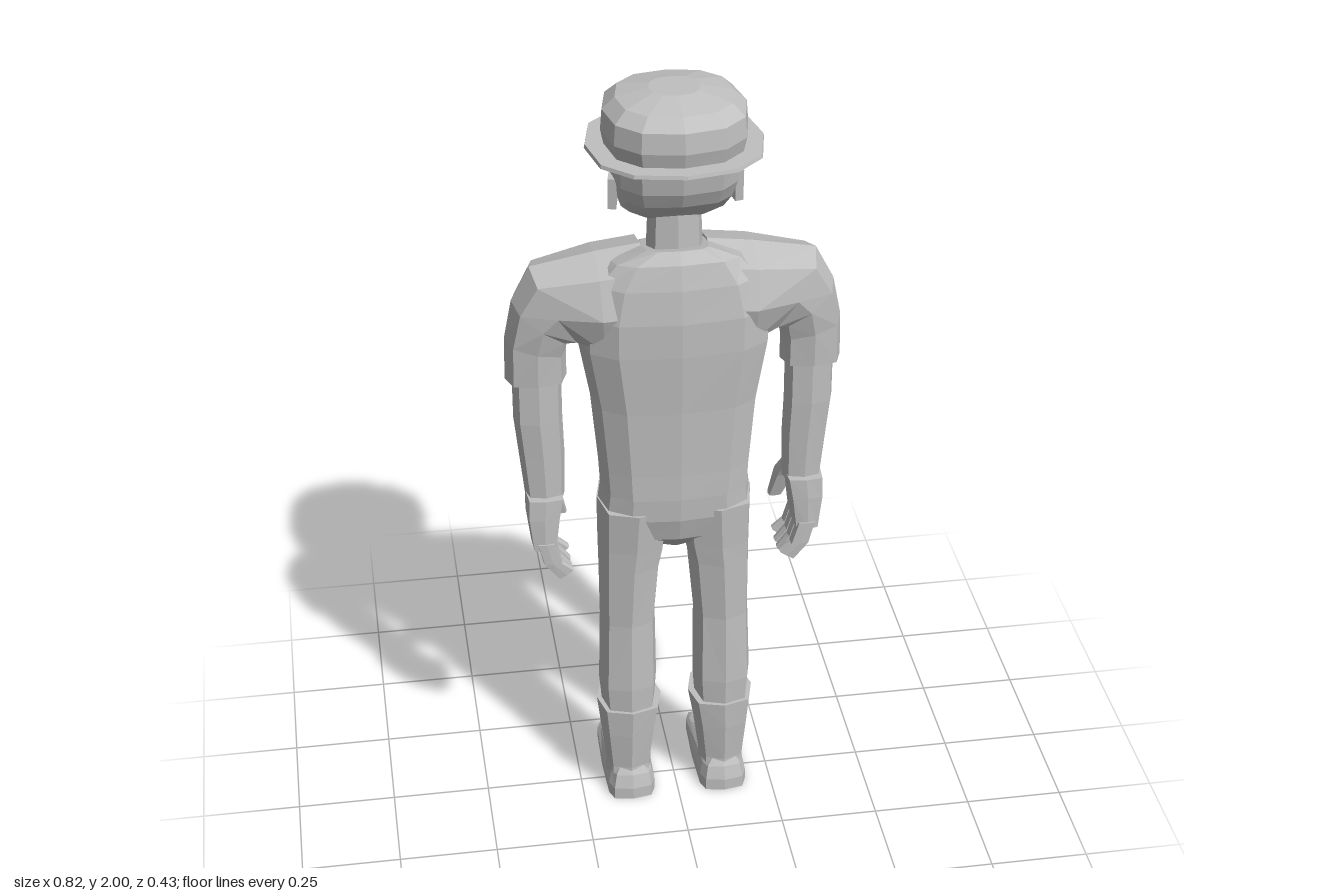
import * as THREE from 'three';

const grey = new THREE.MeshStandardMaterial({ color: 0xc0c0c0, flatShading: true, side: THREE.DoubleSide });
grey.name = 'plain grey';

// Skin over rings. Each ring: [ax, ay, bx, by, zBack, zFace, tilt]; a-b is the width axis in the xy plane.
function loft(name, rings, { n = 8, power = 0.7, side = 1 } = {}) {
  const pos = [], idx = [], last = (rings.length - 1) * n;
  const round = (v) => Math.sign(v) * Math.pow(Math.abs(v), power);
  for (const [ax, ay, bx, by, z0, z1, tilt = 0] of rings) {
    for (let j = 0; j < n; j++) {
      const t = (j / n) * Math.PI * 2;
      const c = round(Math.cos(t)), s = round(Math.sin(t)) * (z0 - z1) / 2;
      pos.push(side * ((ax + bx) / 2 + c * (bx - ax) / 2),
        (ay + by) / 2 + c * (by - ay) / 2 + tilt * s, (z0 + z1) / 2 + s);
    }
  }
  for (let i = 0; i < rings.length - 1; i++) {
    for (let j = 0; j < n; j++) {
      const a = i * n + j, b = i * n + (j + 1) % n;
      idx.push(a, a + n, b, b, a + n, b + n);
    }
  }
  for (let j = 1; j < n - 1; j++) idx.push(0, j, j + 1, last, last + j + 1, last + j);
  // Turn the faces outward whichever way the rings run
  const p = (i) => new THREE.Vector3().fromArray(pos, i * 3);
  let volume = 0;
  for (let i = 0; i < idx.length; i += 3) volume += p(idx[i]).dot(p(idx[i + 1]).cross(p(idx[i + 2])));
  if (volume < 0) idx.reverse();
  const g = new THREE.BufferGeometry();
  g.setAttribute('position', new THREE.Float32BufferAttribute(pos, 3));
  g.setIndex(idx);
  return named(name, g.toNonIndexed());
}

function named(name, geometry) {
  geometry.computeVertexNormals();
  const m = new THREE.Mesh(geometry, grey);
  m.name = name;
  return m;
}

function box(name, size, at, turn = [0, 0, 0]) {
  const m = named(name, new THREE.BoxGeometry(...size));
  m.position.set(...at);
  m.rotation.set(...turn);
  return m;
}

// Level ring centred on x = 0
const level = (y, w, z0, z1, tilt) => [-w, y, w, y, z0, z1, tilt];
// Level ring between two x values
const span = (y, x0, x1, z0, z1, tilt) => [x0, y, x1, y, z0, z1, tilt];

function makeHead() {
  const head = new THREE.Group();
  head.name = 'head';
  head.add(loft('skull', [
    level(1.658, 0.075, 0.06, -0.115, 0.38),
    level(1.69, 0.122, 0.09, -0.132, 0.25),
    level(1.74, 0.138, 0.13, -0.142, 0.08),
    level(1.79, 0.15, 0.15, -0.145),
    level(1.87, 0.155, 0.165, -0.152)], { n: 12 }));
  head.add(loft('neck', [level(1.54, 0.07, 0.075, -0.055), level(1.74, 0.062, 0.07, -0.048)]));
  // Face
  head.add(loft('nose', [level(1.715, 0.03, -0.12, -0.16), level(1.735, 0.032, -0.12, -0.17),
    level(1.8, 0.014, -0.12, -0.152)], { n: 6 }));
  head.add(box('upperLip', [0.1, 0.018, 0.03], [0, 1.702, -0.13]));
  head.add(box('lowerLip', [0.075, 0.014, 0.025], [0, 1.665, -0.116]));
  head.add(box('chin', [0.08, 0.03, 0.04], [0, 1.635, -0.1], [0.3, 0, 0]));
  for (const s of [-1, 1]) {
    head.add(box('brow', [0.08, 0.018, 0.024], [s * 0.062, 1.81, -0.132], [0, s * 0.2, s * 0.1]));
    head.add(box('eye', [0.05, 0.014, 0.016], [s * 0.062, 1.782, -0.134], [0, s * 0.2, 0]));
    head.add(box('cheek', [0.055, 0.035, 0.03], [s * 0.07, 1.738, -0.118], [0.3, s * 0.4, 0]));
    head.add(box('ear', [0.02, 0.08, 0.04], [s * 0.146, 1.752, 0.018], [0.08, s * 0.2, 0]));
  }
  return head;
}

function makeHat() {
  const hat = new THREE.Group();
  hat.name = 'hat';
  const opts = { n: 12, power: 0.82 };
  hat.add(loft('brim', [level(1.86, 0.21, 0.213, -0.193), level(1.869, 0.208, 0.211, -0.191)], opts));
  hat.add(loft('crown', [
    level(1.865, 0.164, 0.17, -0.148), level(1.905, 0.172, 0.18, -0.156),
    level(1.955, 0.168, 0.176, -0.153), level(1.983, 0.138, 0.145, -0.122),
    level(2.0, 0.06, 0.065, -0.045)], opts));
  return hat;
}

function makeArm(side) {
  const arm = new THREE.Group();
  arm.name = side > 0 ? 'leftArm' : 'rightArm';
  // Shoulder and sleeve bend from sideways to straight down
  arm.add(loft('sleeve', [
    [0.08, 1.34, 0.08, 1.6, 0.13, -0.135],
    [0.18, 1.34, 0.19, 1.585, 0.126, -0.135],
    [0.23, 1.36, 0.345, 1.556, 0.09, -0.1],
    [0.255, 1.365, 0.39, 1.47, 0.078, -0.085],
    [0.262, 1.33, 0.41, 1.37, 0.065, -0.068],
    [0.262, 1.26, 0.412, 1.26, 0.06, -0.06]], { power: 0.75, side }));
  arm.add(loft('forearm', [
    span(1.3, 0.275, 0.395, 0.054, -0.054), span(1.15, 0.275, 0.395, 0.054, -0.054),
    span(1.05, 0.272, 0.385, 0.05, -0.052), span(0.92, 0.275, 0.372, 0.046, -0.046)], { side }));
  // Hand, curled fingers and thumb
  arm.add(loft('palm', [
    span(0.935, 0.28, 0.372, 0.064, -0.062), span(0.88, 0.29, 0.373, 0.066, -0.064),
    span(0.79, 0.302, 0.362, 0.066, -0.064)], { power: 0.3, side }));
  for (let i = 0; i < 4; i++) {
    const z = 0.053 - i * 0.034, drop = i === 1 || i === 2 ? 0 : 0.012;
    arm.add(loft('finger', [
      span(0.81, 0.308, 0.352, z + 0.016, z - 0.016),
      span(0.75, 0.29, 0.337, z + 0.016, z - 0.016),
      [0.262, 0.715 + drop, 0.3, 0.69 + drop, z + 0.014, z - 0.014]], { power: 0.3, side }));
  }
  arm.add(loft('thumb', [
    span(0.92, 0.29, 0.335, -0.045, -0.085), span(0.87, 0.275, 0.325, -0.065, -0.12),
    span(0.8, 0.26, 0.295, -0.085, -0.118)], { power: 0.5, side }));
  return arm;
}

function makeLeg(side) {
  const leg = new THREE.Group();
  leg.name = side > 0 ? 'leftLeg' : 'rightLeg';
  leg.add(loft('trouserLeg', [
    span(0.9, 0.01, 0.195, 0.116, -0.118), span(0.78, 0.022, 0.194, 0.104, -0.11),
    span(0.72, 0.035, 0.193, 0.1, -0.104), span(0.55, 0.05, 0.192, 0.092, -0.088),
    span(0.35, 0.048, 0.198, 0.095, -0.074), span(0.25, 0.055, 0.19, 0.09, -0.065)], { side }));
  leg.add(loft('bootShaft', [
    span(0.28, 0.036, 0.205, 0.1, -0.076), span(0.2, 0.05, 0.196, 0.095, -0.068),
    span(0.09, 0.064, 0.184, 0.085, -0.06), span(0.04, 0.064, 0.184, 0.088, -0.07)], { side }));
  leg.add(loft('shoe', [
    span(0, 0.058, 0.187, 0.102, -0.215), span(0.03, 0.058, 0.187, 0.102, -0.217, 0.02),
    span(0.053, 0.066, 0.178, 0.092, -0.2, 0.12),
    span(0.075, 0.082, 0.165, 0.08, -0.11, 0.15)], { n: 12, power: 0.4, side }));
  return leg;
}

// Crumpled cloth on the face side of the left sleeve
function makeTear() {
  const tear = new THREE.Group();
  tear.name = 'tornSleeve';
  let seed = 7;
  const rand = () => (seed = (seed * 16807) % 2147483647) / 2147483647;
  for (let i = 0; i < 12; i++) {
    const scrap = named('clothScrap', new THREE.TetrahedronGeometry(0.016 + rand() * 0.012));
    scrap.position.set(0.29 + rand() * 0.06, 1.28 + i * 0.015, -0.06 - rand() * 0.02);
    scrap.rotation.set(rand() * 6, rand() * 6, rand() * 6);
    tear.add(scrap);
  }
  return tear;
}

export function createModel() {
  const figure = new THREE.Group();
  figure.name = 'standingMan';
  figure.add(makeHead(), makeHat());
  figure.add(loft('shirt', [
    level(0.95, 0.186, 0.13, -0.118), level(1.02, 0.19, 0.13, -0.118),
    level(1.2, 0.206, 0.135, -0.138), level(1.36, 0.235, 0.144, -0.157),
    level(1.45, 0.235, 0.145, -0.158), level(1.535, 0.21, 0.136, -0.138),
    level(1.572, 0.16, 0.122, -0.112, 0.2),
    level(1.598, 0.08, 0.1, -0.08, 0.27)], { n: 12, power: 0.65 }));
  figure.add(loft('hips', [
    level(0.765, 0.03, 0.05, -0.055), level(0.815, 0.16, 0.098, -0.105),
    level(0.88, 0.194, 0.116, -0.12), level(0.965, 0.184, 0.122, -0.114)], { n: 12 }));
  for (const s of [-1, 1]) figure.add(makeArm(s), makeLeg(s));
  figure.add(makeTear());
  return figure;
}
